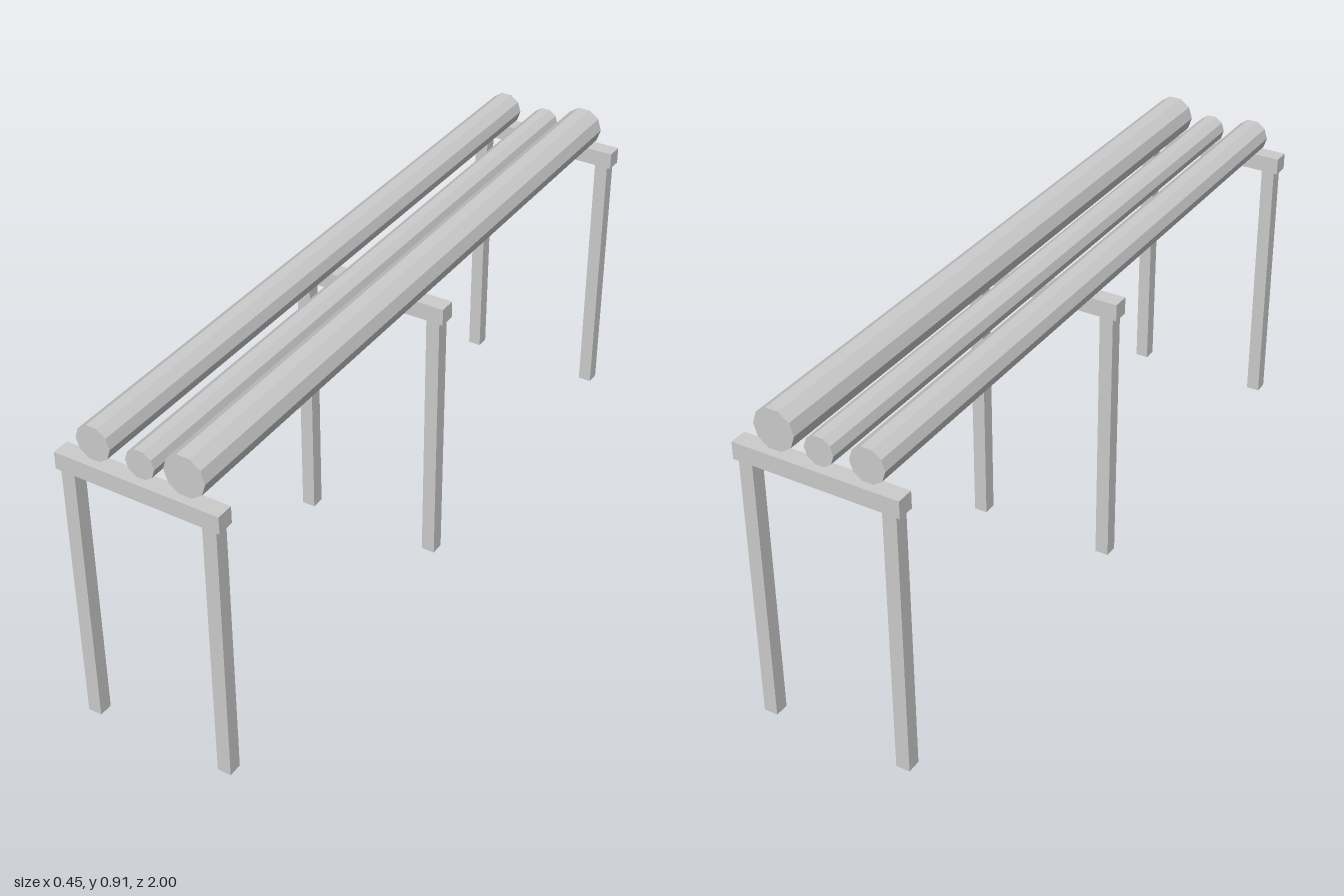
import * as THREE from 'three';

export function createModel() {
  const group = new THREE.Group();
  const wood = new THREE.MeshStandardMaterial({ color: 0xcccccc, flatShading: true });
  const hollowWood = wood.clone();
  hollowWood.side = THREE.DoubleSide;

  const add = (name, geometry, material, x, y, z) => {
    const mesh = new THREE.Mesh(geometry, material);
    mesh.name = name;
    mesh.position.set(x, y, z);
    group.add(mesh);
  };

  // Three trestles: a crossbeam on two square legs, open at the foot
  const beamSize = 0.047, beamBottom = 0.751, legWidth = 0.038;
  const beam = new THREE.BoxGeometry(0.454, beamSize, beamSize);
  const leg = new THREE.CylinderGeometry(
    legWidth / Math.SQRT2, legWidth / Math.SQRT2, beamBottom, 4, 1, true, Math.PI / 4);
  for (const [place, z] of [['front', 0.9765], ['middle', 0], ['back', -0.9765]]) {
    add(place + 'Crossbeam', beam, wood, 0, beamBottom + beamSize / 2, z);
    for (const side of [-1, 1]) {
      add(place + (side > 0 ? 'LeftLeg' : 'RightLeg'), leg, hollowWood, side * 0.196, beamBottom / 2, z);
    }
  }

  // Ten-sided logs of different thickness, each lying on a flat side
  const beamTop = beamBottom + beamSize;
  for (const [name, x, r] of [['rightLog', -0.13, 0.048], ['middleLog', 0, 0.04], ['leftLog', 0.122, 0.0565]]) {
    const log = new THREE.CylinderGeometry(r, r, 1.953, 10, 1, false, Math.PI / 2).rotateX(Math.PI / 2);
    add(name, log, wood, x, beamTop + r * Math.cos(Math.PI / 10), 0);
  }

  return group;
}
